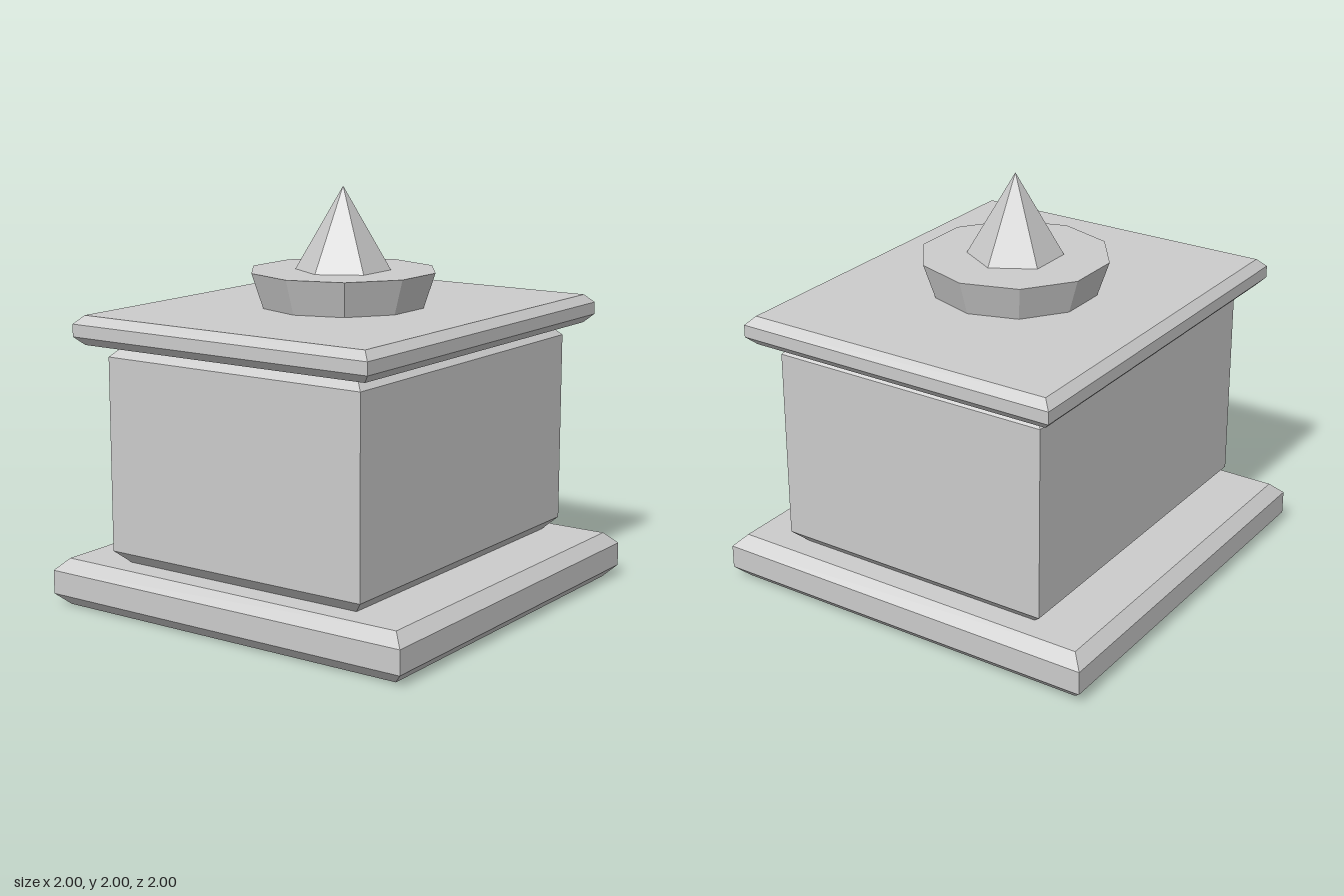
import * as THREE from 'three';

const material = new THREE.MeshStandardMaterial({ color: 0xcccccc, flatShading: true });

// Slab with sharp vertical corners and chamfered top and bottom rims
function chamferedSlab(name, width, depth, y0, y1, bevel) {
  const height = y1 - y0;
  const geometry = new THREE.BoxGeometry(width, height, depth, 1, 3, 1);
  const pos = geometry.attributes.position;
  for (let i = 0; i < pos.count; i++) {
    const y = pos.getY(i);
    const sign = Math.sign(y);
    if (Math.abs(y) > height * 0.4) {
      // outer rows: pull inwards by the bevel
      pos.setX(i, pos.getX(i) - Math.sign(pos.getX(i)) * bevel);
      pos.setZ(i, pos.getZ(i) - Math.sign(pos.getZ(i)) * bevel);
    } else {
      // inner rows: move to where the bevel meets the wall
      pos.setY(i, sign * (height / 2 - bevel));
    }
  }
  geometry.computeVertexNormals();
  const mesh = new THREE.Mesh(geometry, material);
  mesh.name = name;
  mesh.position.y = (y0 + y1) / 2;
  return mesh;
}

// Faceted round part with a corner pointing along +x
function facetedRound(name, topRadius, bottomRadius, y0, y1, sides) {
  const geometry = new THREE.CylinderGeometry(
    topRadius, bottomRadius, y1 - y0, sides, 1, false, Math.PI / 2);
  const mesh = new THREE.Mesh(geometry, material);
  mesh.name = name;
  mesh.position.y = (y0 + y1) / 2;
  return mesh;
}

export function createModel() {
  const group = new THREE.Group();
  group.name = 'pedestal';
  group.add(
    chamferedSlab('base', 2, 2, 0, 0.23, 0.057),
    chamferedSlab('body', 1.77, 1.43, 0.23, 1.29, 0.06),
    chamferedSlab('lid', 2, 1.66, 1.29, 1.43, 0.04),
    facetedRound('bowl', 0.457, 0.4, 1.43, 1.6, 10),
    facetedRound('spike', 0, 0.23, 1.6, 2, 6)
  );
  return group;
}
